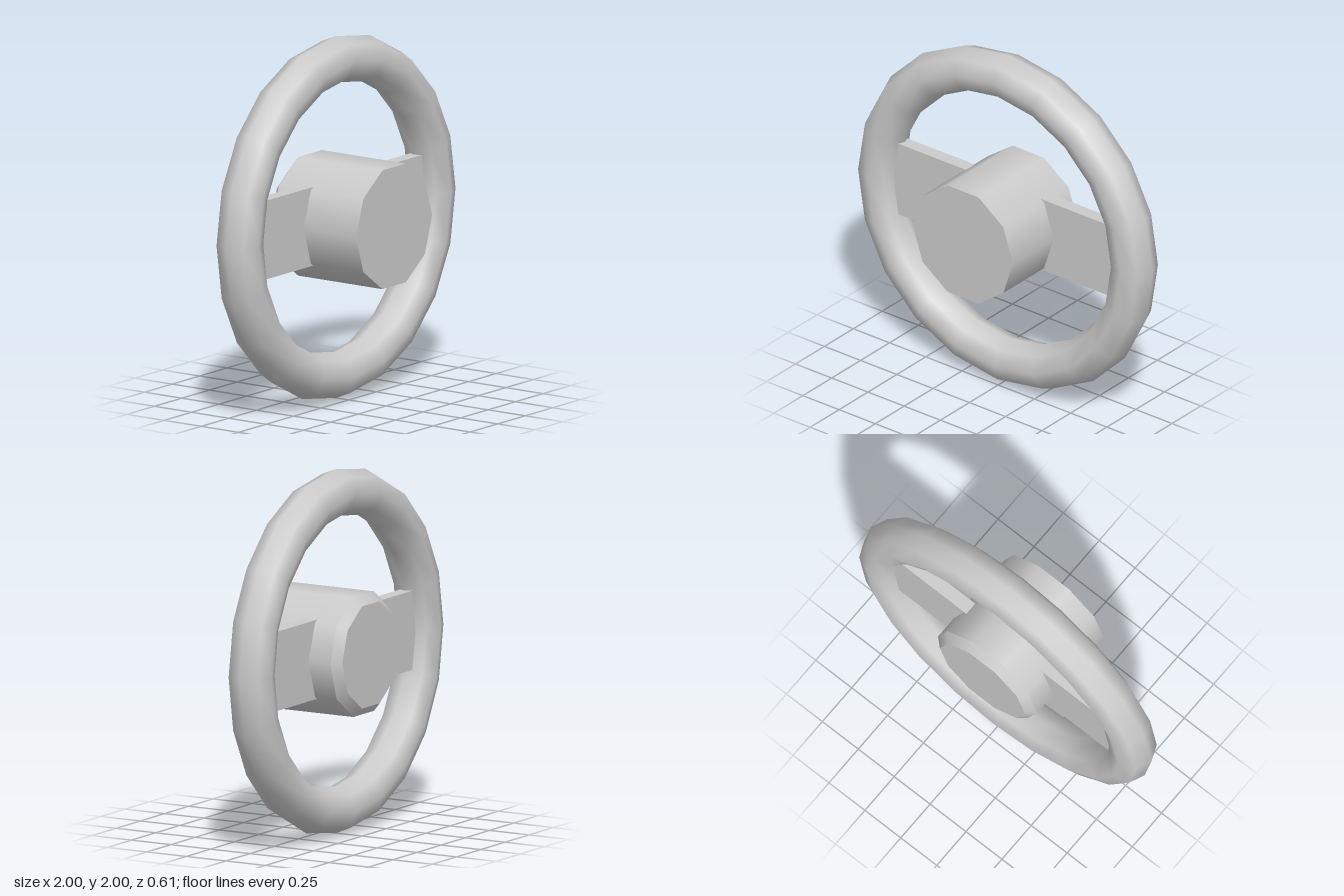
import * as THREE from 'three';

export function createModel() {
  const model = new THREE.Group();
  model.name = 'steeringWheel';
  const material = new THREE.MeshStandardMaterial({ color: 0xcccccc });
  const centreY = 1, rimZ = -0.085;

  const add = (name, geometry, x, z) => {
    const mesh = new THREE.Mesh(geometry, material);
    mesh.name = name;
    mesh.position.set(x, centreY, z);
    model.add(mesh);
  };

  // Ten-sided drum along z, with corners on the x axis
  const drum = (frontRadius, backRadius, depth, open) =>
    new THREE.CylinderGeometry(frontRadius, backRadius, depth, 10, 1, open, Math.PI / 2).rotateX(Math.PI / 2);
  const cap = (radius) => new THREE.CircleGeometry(radius, 10);

  // Rim: 20 segments with an eight-sided section
  add('rim', new THREE.TorusGeometry(0.8725, 0.1275, 8, 20), 0, rimZ);

  // Hub: straight barrel, bevelled rear edge, flat end caps
  const front = 0.305, bevel = -0.26, back = -0.305;
  add('hubBarrel', drum(0.345, 0.345, front - bevel, true), 0, (front + bevel) / 2);
  add('hubBevel', drum(0.345, 0.295, bevel - back, true), 0, (bevel + back) / 2);
  add('hubFrontCap', cap(0.345), 0, front);
  add('hubBackCap', cap(0.295).rotateY(Math.PI), 0, back);

  // Two flat spokes running from inside the hub into the rim
  for (const [side, name] of [[1, 'leftSpoke'], [-1, 'rightSpoke']]) {
    add(name, new THREE.BoxGeometry(0.62, 0.435, 0.076), side * 0.51, rimZ);
  }

  return model;
}
